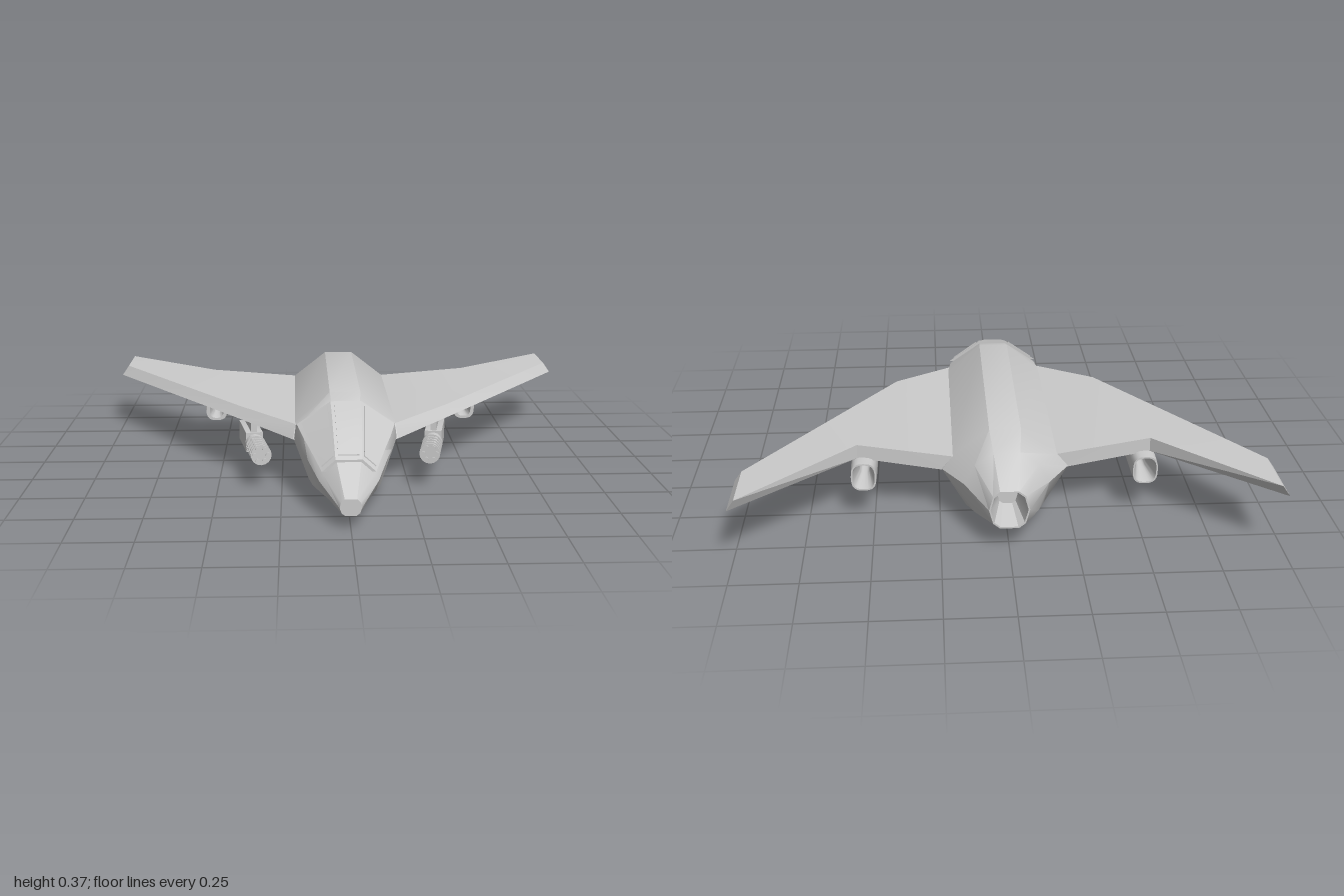
import * as THREE from 'three';
import { toCreasedNormals, mergeGeometries } from 'three/addons/utils/BufferGeometryUtils.js';

const material = new THREE.MeshStandardMaterial({ color: 0xcccccc });

// Skin a row of closed rings; each ring runs counter-clockwise seen from the end of the row.
function loft(rings, { caps = true, crease = 0.6 } = {}) {
  const n = rings[0].length, index = [];
  for (let i = 0; i < rings.length - 1; i++)
    for (let j = 0; j < n; j++) {
      const a = i * n + j, b = i * n + (j + 1) % n;
      index.push(a, b, b + n, a, b + n, a + n);
    }
  const last = (rings.length - 1) * n;
  if (caps)
    for (let j = 1; j < n - 1; j++) index.push(0, j + 1, j, last, last + j, last + j + 1);
  const geo = new THREE.BufferGeometry();
  geo.setAttribute('position', new THREE.Float32BufferAttribute(rings.flat(2), 3));
  geo.setIndex(index);
  return toCreasedNormals(geo, crease);
}

// Mirror a geometry across x = 0, keeping its faces outward.
function mirror(geo) {
  const out = geo.index ? geo.toNonIndexed() : geo.clone();
  out.scale(-1, 1, 1);
  for (const attr of Object.values(out.attributes)) {
    const k = attr.itemSize, a = attr.array;
    for (let t = 0; t < a.length; t += 3 * k)
      for (let c = 0; c < k; c++) [a[t + k + c], a[t + 2 * k + c]] = [a[t + 2 * k + c], a[t + k + c]];
  }
  return out;
}

function add(group, name, geo) {
  const mesh = new THREE.Mesh(geo, material);
  mesh.name = name;
  group.add(mesh);
}

function addPair(group, name, geo) {
  add(group, name + 'Left', geo);
  add(group, name + 'Right', mirror(geo));
}

// Half sections: z, then x,y of keel, chine, side, shoulder and ridge
const SECTIONS = [
  [-0.805, 0.035, 0.09, 0.06, 0.11, 0.075, 0.165, 0.06, 0.22, 0.035, 0.24],
  [-0.64, 0.06, 0.03, 0.12, 0.07, 0.16, 0.19, 0.12, 0.265, 0.05, 0.315],
  [-0.53, 0.065, 0.005, 0.15, 0.045, 0.24, 0.2, 0.2, 0.25, 0.06, 0.36],
  [0.32, 0.065, 0.005, 0.15, 0.045, 0.21, 0.2, 0.2, 0.25, 0.06, 0.37],
  [0.41, 0.06, 0.003, 0.145, 0.045, 0.195, 0.2, 0.185, 0.255, 0.055, 0.345],
  [0.5, 0.055, 0.004, 0.13, 0.045, 0.172, 0.185, 0.163, 0.23, 0.052, 0.314],
  [0.58, 0.05, 0.014, 0.11, 0.05, 0.15, 0.17, 0.138, 0.205, 0.05, 0.28],
  [0.72, 0.035, 0.031, 0.075, 0.06, 0.11, 0.13, 0.095, 0.155, 0.045, 0.2],
  [0.885, 0.02, 0.05, 0.033, 0.06, 0.04, 0.08, 0.035, 0.1, 0.022, 0.112],
];

function fuselage() {
  const rings = SECTIONS.map(([z, ...p]) => {
    const half = [];
    for (let i = 0; i < p.length; i += 2) half.push([p[i], p[i + 1], z]);
    return [...half, ...half.map(([x, y]) => [-x, y, z]).reverse()];
  });
  // Hollow exhaust in the tail
  const hollow = (k, z) => rings[0].map(([x, y]) => [x * k, 0.165 + (y - 0.165) * k, z]);
  return loft([hollow(0.5, -0.68), hollow(0.92, -0.805), ...rings]);
}

// Raised canopy: a frame over the cockpit sections, and three panes on it
const COCKPIT = SECTIONS.slice(4, 8);
const blend = (a, b, k) => a.map((v, i) => v + (b[i] - v) * k);
const PANE = [
  blend(COCKPIT[0], COCKPIT[1], 0.2), COCKPIT[1], COCKPIT[2], blend(COCKPIT[3], COCKPIT[2], 0.14),
];

function canopyFrame(d) {
  return loft(COCKPIT.map((s) => {
    const [sx, sy, tx, ty] = s.slice(7), z = s[0], o = d * 0.5;
    return [[sx + o, sy + d, z], [tx + o, ty + d, z], [-tx - o, ty + d, z], [-sx - o, sy + d, z]];
  }), { crease: 0.4 });
}

function canopyTopPane(d) {
  return loft(PANE.map((s) => {
    const z = s[0], w = s[9] * 0.85, y = s[10] + d;
    return [[w, y - 0.02, z], [w, y, z], [-w, y, z], [-w, y - 0.02, z]];
  }), { crease: 0.4 });
}

function canopySidePane(d) {
  return loft(PANE.map((s) => {
    const [sx, sy, tx, ty] = s.slice(7);
    const at = (k, h) => [sx + (tx - sx) * k + h * 0.5, sy + (ty - sy) * k + h, s[0]];
    return [at(0.12, d), at(0.9, d), at(0.9, d - 0.02), at(0.12, d - 0.02)];
  }), { crease: 0.4 });
}

// Cranked wing: stations of top rear, top front, bottom front, bottom rear
function wing() {
  return loft([
    [[0.1, 0.245, -0.53], [0.1, 0.245, 0.38], [0.1, 0.18, 0.4], [0.1, 0.18, -0.53]],
    [[0.2, 0.252, -0.53], [0.195, 0.252, 0.36], [0.205, 0.195, 0.38], [0.2, 0.19, -0.53]],
    [[0.56, 0.29, -0.49], [0.42, 0.277, 0.155], [0.445, 0.237, 0.17], [0.56, 0.235, -0.49]],
    [[0.972, 0.276, -0.885], [0.972, 0.276, -0.66], [1, 0.235, -0.65], [1, 0.235, -0.885]],
  ], { crease: 0.3 });
}

// Open-ended engine pod under the wing
function enginePod() {
  const ring = (w, h, z) => Array.from({ length: 24 }, (_, i) => {
    const a = (i / 24) * Math.PI * 2;
    const round = (v) => Math.sign(v) * Math.abs(v) ** 0.7;
    return [0.537 + w * round(Math.cos(a)), 0.18 + h * round(Math.sin(a)), z];
  });
  return loft([
    ring(0.048, 0.056, -0.545), ring(0.05, 0.058, -0.5), ring(0.05, 0.058, -0.24),
    ring(0.045, 0.05, -0.19), ring(0.03, 0.04, -0.19), ring(0.02, 0.033, -0.25),
    ring(0.02, 0.033, -0.44), ring(0.042, 0.05, -0.545), ring(0.048, 0.056, -0.545),
  ], { caps: false });
}

// Rotary gun parts, built along z and then toed in under the wing
const place = (geo) => geo.rotateY(-0.17).translate(0.38, 0.138, 0.1);
const rod = (r, z0, z1, sides = 12, x = 0, y = 0) =>
  new THREE.CylinderGeometry(r, r, z1 - z0, sides).rotateX(Math.PI / 2).translate(x, y, (z0 + z1) / 2);

function gunHousing() {
  const box = (w, top, bottom, z) => [[w, bottom, z], [w, top, z], [-w, top, z], [-w, bottom, z]];
  return place(loft([
    box(0.028, 0.032, -0.028, -0.115), box(0.034, 0.042, -0.038, -0.1), box(0.034, 0.042, -0.038, 0.115),
  ]));
}

function gunBarrels() {
  const parts = [rod(0.01, 0.1, 0.29)];
  for (let i = 0; i < 6; i++) {
    const a = (i / 6) * Math.PI * 2;
    parts.push(rod(0.01, 0.1, 0.31, 8, Math.cos(a) * 0.027, Math.sin(a) * 0.027));
  }
  return place(mergeGeometries(parts));
}

function gunCollars() {
  const parts = [rod(0.036, 0.115, 0.135, 16), rod(0.041, 0.14, 0.165, 16)];
  for (const z of [0.195, 0.23, 0.265, 0.295]) parts.push(rod(0.041, z, z + 0.008, 16));
  return place(mergeGeometries(parts));
}

export function createModel() {
  const model = new THREE.Group();
  model.name = 'aircraft';
  add(model, 'fuselage', fuselage());

  add(model, 'canopyFrame', canopyFrame(0.009));
  add(model, 'canopyTopPane', canopyTopPane(0.013));
  addPair(model, 'canopySidePane', canopySidePane(0.013));

  addPair(model, 'wing', wing());
  addPair(model, 'enginePod', enginePod());

  addPair(model, 'gunHousing', gunHousing());
  addPair(model, 'gunPylon', place(new THREE.BoxGeometry(0.024, 0.07, 0.21).translate(0, 0.07, 0)));
  addPair(model, 'gunBarrels', gunBarrels());
  addPair(model, 'gunCollars', gunCollars());
  return model;
}
